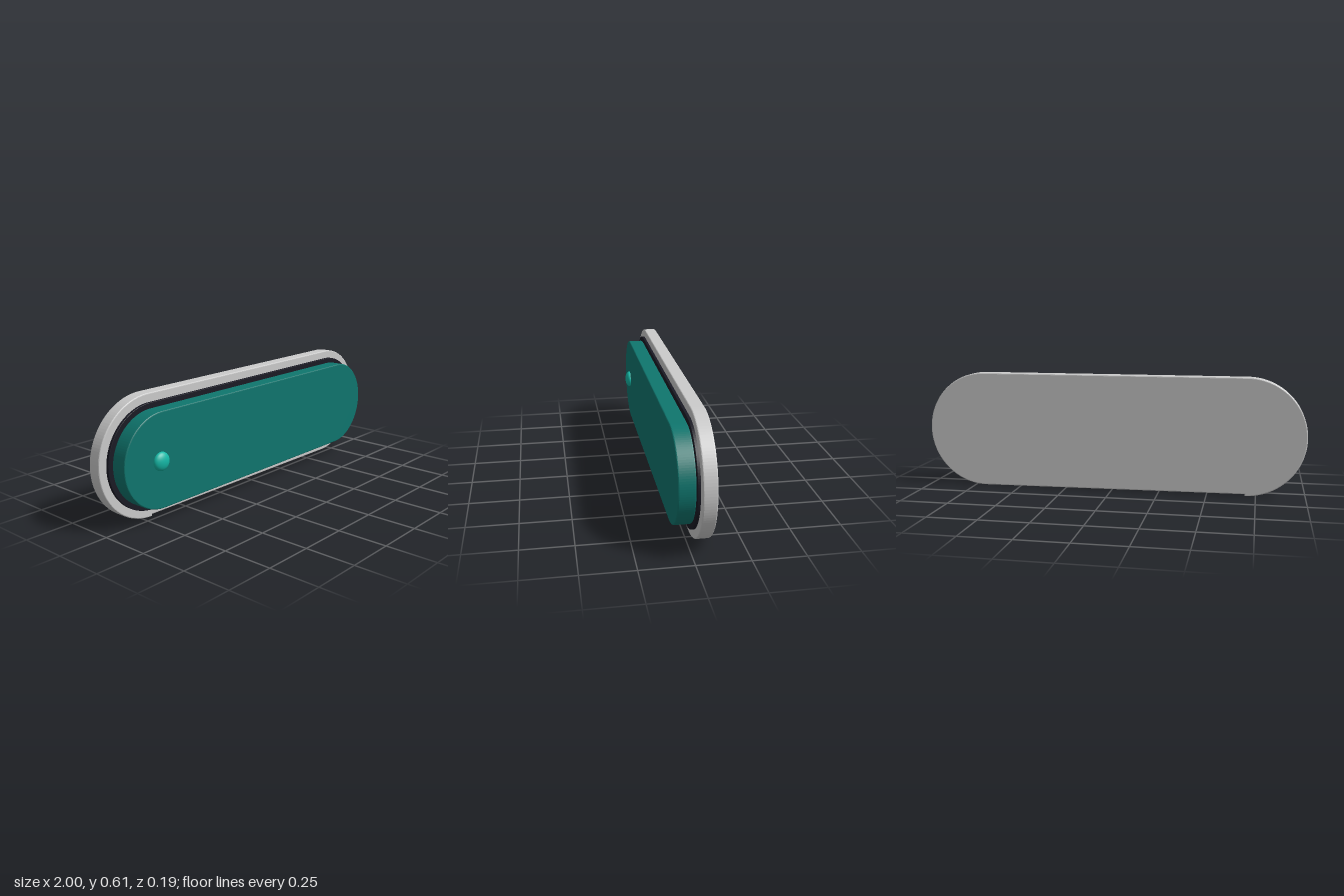
import * as THREE from 'three';

const CENTRE_Y = 0.305;

// Rounded slab with semicircular ends, lying between z0 and z1
function capsuleSlab(name, color, halfLength, radius, z0, z1, bevel, lift) {
  const c = halfLength - radius;
  const shape = new THREE.Shape();
  // The lower edge rises very slightly toward -x, leaving a tiny step
  shape.moveTo(-c, -radius + lift);
  shape.lineTo(c, -radius);
  shape.absarc(c, 0, radius, -Math.PI / 2, Math.PI / 2, false);
  shape.lineTo(-c, radius);
  shape.absarc(-c, 0, radius, Math.PI / 2, Math.PI * 1.5, false);
  const geometry = new THREE.ExtrudeGeometry(shape, {
    depth: z1 - z0 - 2 * bevel,
    bevelEnabled: true,
    bevelThickness: bevel,
    bevelSize: bevel,
    bevelOffset: -bevel,
    bevelSegments: 3,
    curveSegments: 32,
  });
  const mesh = new THREE.Mesh(geometry, new THREE.MeshStandardMaterial({ color }));
  mesh.name = name;
  mesh.position.set(0, CENTRE_Y, z0 + bevel);
  return mesh;
}

export function createModel() {
  const group = new THREE.Group();
  group.name = 'capsulePanel';

  // Back plate, dark gasket and raised front panel
  group.add(
    capsuleSlab('backPlate', 0xcccccc, 1, 0.305, -0.093, -0.027, 0.006, 0.01),
    capsuleSlab('gasket', 0x1a1a24, 0.957, 0.262, -0.029, -0.013, 0.002, 0.004),
    capsuleSlab('frontPanel', 0x0f766e, 0.932, 0.236, -0.015, 0.067, 0.006, 0),
  );

  // Domed button near the model's right end
  const button = new THREE.Mesh(
    new THREE.SphereGeometry(1, 32, 20),
    new THREE.MeshStandardMaterial({ color: 0x14b8a6 }),
  );
  button.name = 'button';
  button.scale.set(0.046, 0.046, 0.025);
  button.position.set(-0.715, CENTRE_Y, 0.07);
  group.add(button);

  return group;
}
